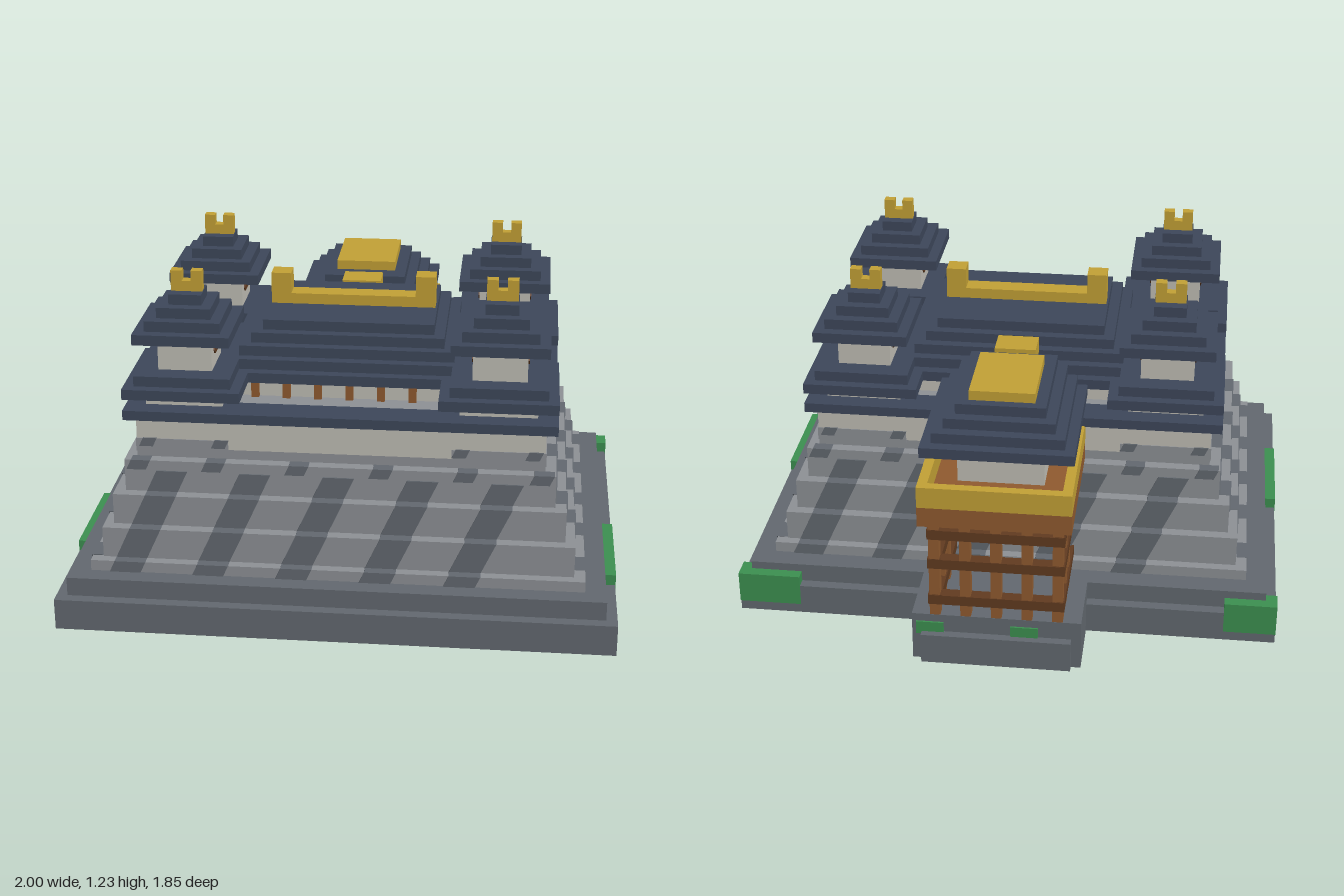
import * as THREE from 'three';

const material = (name, color) => {
  const m = new THREE.MeshStandardMaterial({ color });
  m.name = name;
  return m;
};

export function createModel() {
  const darkStone = material('dark stone', 0x62686f);
  const stone = material('light stone', 0x8d9095);
  const plaster = material('cream plaster', 0xbfbdb4);
  const tile = material('slate blue tile', 0x3d475a);
  const gold = material('gold', 0xc2a035);
  const wood = material('wood', 0x8f5a2f);
  const darkWood = material('dark wood', 0x613b20);
  const green = material('hedge green', 0x3c8f50);

  const castle = new THREE.Group();
  castle.name = 'castle';
  const section = (name, parent = castle) => {
    const g = new THREE.Group();
    g.name = name;
    parent.add(g);
    return g;
  };
  // Box from its limits on each axis
  const box = (parent, name, mat, x0, x1, y0, y1, z0, z1) => {
    const mesh = new THREE.Mesh(new THREE.BoxGeometry(x1 - x0, y1 - y0, z1 - z0), mat);
    mesh.position.set((x0 + x1) / 2, (y0 + y1) / 2, (z0 + z1) / 2);
    mesh.name = name;
    parent.add(mesh);
    return mesh;
  };
  // Box centred on x and z
  const slab = (parent, name, mat, y0, y1, hx, hz = hx, cx = 0, cz = 0) =>
    box(parent, name, mat, cx - hx, cx + hx, y0, y1, cz - hz, cz + hz);

  // Plinth with a spur at the back
  const plinth = section('plinth');
  box(plinth, 'lowerPlinth', darkStone, -1, 1, 0.004, 0.12, -0.66, 0.92);
  box(plinth, 'upperPlinth', darkStone, -0.96, 0.96, 0.12, 0.19, -0.62, 0.88);
  box(plinth, 'spur', darkStone, -0.305, 0.305, 0.004, 0.19, -0.888, -0.6);
  box(plinth, 'spurStep', darkStone, -0.27, 0.27, 0.004, 0.12, -0.92, -0.88);

  // Underside paving with round spots
  box(plinth, 'underside', stone, -0.99, 0.99, 0.002, 0.006, -0.65, 0.91);
  box(plinth, 'spurUnderside', darkStone, -0.305, 0.305, 0, 0.005, -0.888, -0.38);
  const spot = new THREE.CylinderGeometry(0.06, 0.06, 0.004, 8);
  for (let row = 0; row < 10; row++) {
    for (let col = 0; col < 8; col++) {
      const x = -0.9 + col * 0.24 + (row % 2) * 0.12;
      const z = -0.56 + row * 0.155;
      if (x > 0.93 || (Math.abs(x) < 0.36 && z < -0.33)) continue;
      const mesh = new THREE.Mesh(spot, darkStone);
      mesh.name = 'undersideSpot';
      mesh.position.set(x, 0.002, z);
      plinth.add(mesh);
    }
  }

  // Hedges on the plinth edges
  const hedges = section('hedges');
  box(hedges, 'rightHedge', green, 0.955, 1.002, 0.04, 0.16, 0.195, 0.615);
  box(hedges, 'leftHedge', green, -1.002, -0.955, 0.04, 0.16, 0.11, 0.53);
  box(hedges, 'cornerHedge', green, 0.77, 1.002, 0.04, 0.16, -0.662, -0.58);
  box(hedges, 'cornerHedge', green, -1.002, -0.81, 0.04, 0.16, -0.662, -0.585);
  for (const x of [-0.1, 0.24]) box(hedges, 'spurHedge', green, x - 0.05, x + 0.05, 0.11, 0.16, -0.895, -0.87);

  // Stepped stone walls: y0, y1, half width, half depth
  const walls = section('stoneWalls');
  walls.position.z = 0.137;
  const tiers = [
    [0.19, 0.23, 0.885, 0.675],
    [0.23, 0.345, 0.845, 0.64],
    [0.345, 0.46, 0.81, 0.6],
    [0.46, 0.58, 0.77, 0.56],
    [0.58, 0.65, 0.73, 0.52],
  ];
  tiers.forEach(([y0, y1, hx, hz], i) => slab(walls, 'stoneTier', stone, y0, i === 4 ? 0.615 : y1, hx, hz));
  slab(walls, 'plasterWall', plaster, 0.615, 0.735, 0.73, 0.52);
  for (const sx of [-1, 1]) {
    for (const sz of [-1, 1]) {
      slab(walls, 'cornerStone', stone, 0.6, 0.65, 0.167, 0.171, sx * 0.566, sz * 0.352);
    }
  }

  // Slanted dark streak, cut at each tier so that it follows the steps
  const streak = (side, sideways, u, yA, yB, w) => {
    for (const [t0, t1, hx, hz] of tiers) {
      const a = Math.max(t0, yA), b = Math.min(t1, yB);
      if (b - a < 0.005) continue;
      const at = y => u + (y - (yA + yB) / 2) * 0.457;
      const top = b + 0.002;
      const shape = new THREE.Shape([
        new THREE.Vector2(at(a) - w, a), new THREE.Vector2(at(a) + w, a),
        new THREE.Vector2(at(top) + w, top), new THREE.Vector2(at(top) - w, top),
      ]);
      const geo = new THREE.ExtrudeGeometry(shape, { depth: 0.042, bevelEnabled: false });
      const mesh = new THREE.Mesh(geo, darkStone);
      mesh.name = 'stoneStreak';
      mesh.position.z = (sideways ? hx : hz) - 0.037;
      side.add(mesh);
    }
  };
  for (let s = 0; s < 4; s++) {
    const side = section('wallStreaks', walls);
    side.rotation.y = s * Math.PI / 2;
    if (s % 2 === 0) {
      for (let i = -2; i <= 2; i++) streak(side, false, i * 0.3 - 0.08, 0.19, 0.54, 0.056);
      for (const u of [-0.72, -0.45, -0.15, 0.15, 0.45, 0.72]) streak(side, false, u, 0.545, 0.58, 0.035);
      for (const u of [-0.69, -0.43, 0.43, 0.69]) streak(side, false, u, 0.62, 0.65, 0.025);
    } else {
      for (const u of [-0.545, -0.265, 0, 0.29, 0.575]) streak(side, true, u, 0.19, 0.23, 0.05);
      for (const u of [-0.4, -0.12, 0.165, 0.445]) streak(side, true, u, 0.24, 0.385, 0.052);
      for (const u of [-0.47, -0.195, 0.085, 0.375]) streak(side, true, u, 0.405, 0.535, 0.052);
      for (const u of [-0.325, 0.235]) streak(side, true, u, 0.53, 0.65, 0.052);
      streak(side, true, -0.055, 0.56, 0.58, 0.05);
    }
  }

  // Eave ring around an open courtyard deck
  const eaves = section('lowerEaves');
  box(eaves, 'courtyard', stone, -0.7, 0.7, 0.73, 0.74, -0.36, 0.62);
  for (const s of [-1, 1]) {
    slab(eaves, 'sideEave', tile, 0.732, 0.768, 0.0575, 0.5575, s * 0.7125, 0.1375);
    slab(eaves, 'endEave', tile, 0.732, 0.768, 0.655, 0.0575, 0, 0.1375 + s * 0.5);
  }

  // Main hall
  const hall = section('mainHall');
  slab(hall, 'hallWall', plaster, 0.735, 0.81, 0.42, 0.325, 0, 0.11);
  for (let i = 0; i < 6; i++) {
    slab(hall, 'hallPillar', wood, 0.735, 0.81, 0.014, 0.012, -0.33 + i * 0.115, 0.443);
  }
  for (let i = 0; i < 5; i++) {
    slab(hall, 'hallRoofLayer', tile, 0.81 + i * 0.038, 0.848 + i * 0.038, 0.47 - i * 0.039, 0.38 - i * 0.0375, 0, 0.11);
  }
  slab(hall, 'ridge', gold, 1, 1.04, 0.307, 0.037, 0, 0.113);
  for (const s of [-1, 1]) slab(hall, 'ridgeEnd', gold, 1, 1.118, 0.037, 0.037, s * 0.27, 0.113);

  // Four corner towers
  const pane = new THREE.Shape([[-0.055, 0], [-0.04, 0.017], [0.04, 0.017], [0.055, 0], [0.04, -0.017], [-0.04, -0.017]]
    .map(([x, y]) => new THREE.Vector2(x, y)));
  const paneGeo = new THREE.ExtrudeGeometry(pane, { depth: 0.006, bevelEnabled: false });
  for (const sx of [-1, 1]) {
    for (const z of [0.485, -0.212]) {
      const tower = section('cornerTower');
      tower.position.set(sx * 0.56, 0, z);
      slab(tower, 'towerBase', plaster, 0.735, 0.81, 0.138);
      slab(tower, 'lowerRoof', tile, 0.81, 0.848, 0.21);
      slab(tower, 'lowerRoof', tile, 0.848, 0.886, 0.173);
      slab(tower, 'towerWall', plaster, 0.886, 1.003, 0.097);
      for (let i = 0; i < 4; i++) {
        slab(tower, 'upperRoof', tile, 1.003 + i * 0.0385, 1.0415 + i * 0.0385, 0.173 - i * 0.038);
      }
      slab(tower, 'finial', gold, 1.157, 1.195, 0.056, 0.018);
      for (const s of [-1, 1]) {
        slab(tower, 'finialHorn', gold, 1.195, 1.233, 0.02, 0.018, s * 0.036);
        const win = new THREE.Mesh(paneGeo, darkWood);
        win.name = 'towerWindow';
        win.rotation.y = s * Math.PI / 2;
        win.position.set(s * 0.096, 0.95, 0);
        tower.add(win);
      }
    }
  }

  // Rear balcony on an open timber lattice
  const balcony = section('rearBalcony');
  for (const s of [-1, 1]) {
    for (const z of [-0.48, -0.635, -0.745]) slab(balcony, 'sidePost', wood, 0.19, 0.58, 0.019, 0.019, s * 0.22, z);
    for (const y of [0.255, 0.405, 0.525]) box(balcony, 'sideRail', darkWood, s * 0.22 - 0.024, s * 0.22 + 0.024, y - 0.02, y + 0.02, -0.888, -0.42);
    box(balcony, 'sideParapet', gold, s * 0.2525 - 0.0175, s * 0.2525 + 0.0175, 0.655, 0.735, -0.925, -0.38);
  }
  for (let i = -2; i <= 2; i++) slab(balcony, 'rearPost', wood, 0.19, 0.58, 0.019, 0.019, i * 0.11, -0.868);
  for (const y of [0.255, 0.405, 0.525]) box(balcony, 'rearRail', darkWood, -0.24, 0.24, y - 0.019, y + 0.019, -0.89, -0.846);
  box(balcony, 'balconyFloor', wood, -0.27, 0.27, 0.58, 0.655, -0.925, -0.38);
  box(balcony, 'rearParapet', gold, -0.235, 0.235, 0.655, 0.735, -0.925, -0.89);
  box(balcony, 'balconyRoom', plaster, -0.155, 0.155, 0.655, 0.81, -0.725, -0.34);
  for (let i = 0; i < 4; i++) {
    const hx = 0.27 - i * 0.037;
    box(balcony, 'balconyRoofLayer', tile, -hx, hx, 0.81 + i * 0.0385, 0.8485 + i * 0.0385, -0.85 + i * 0.04, -0.31);
  }
  box(balcony, 'roofCap', gold, -0.118, 0.115, 0.96, 1.0, -0.695, -0.388);
  box(balcony, 'roofLink', gold, -0.078, 0.073, 0.92, 0.98, -0.312, -0.2);

  return castle;
}
